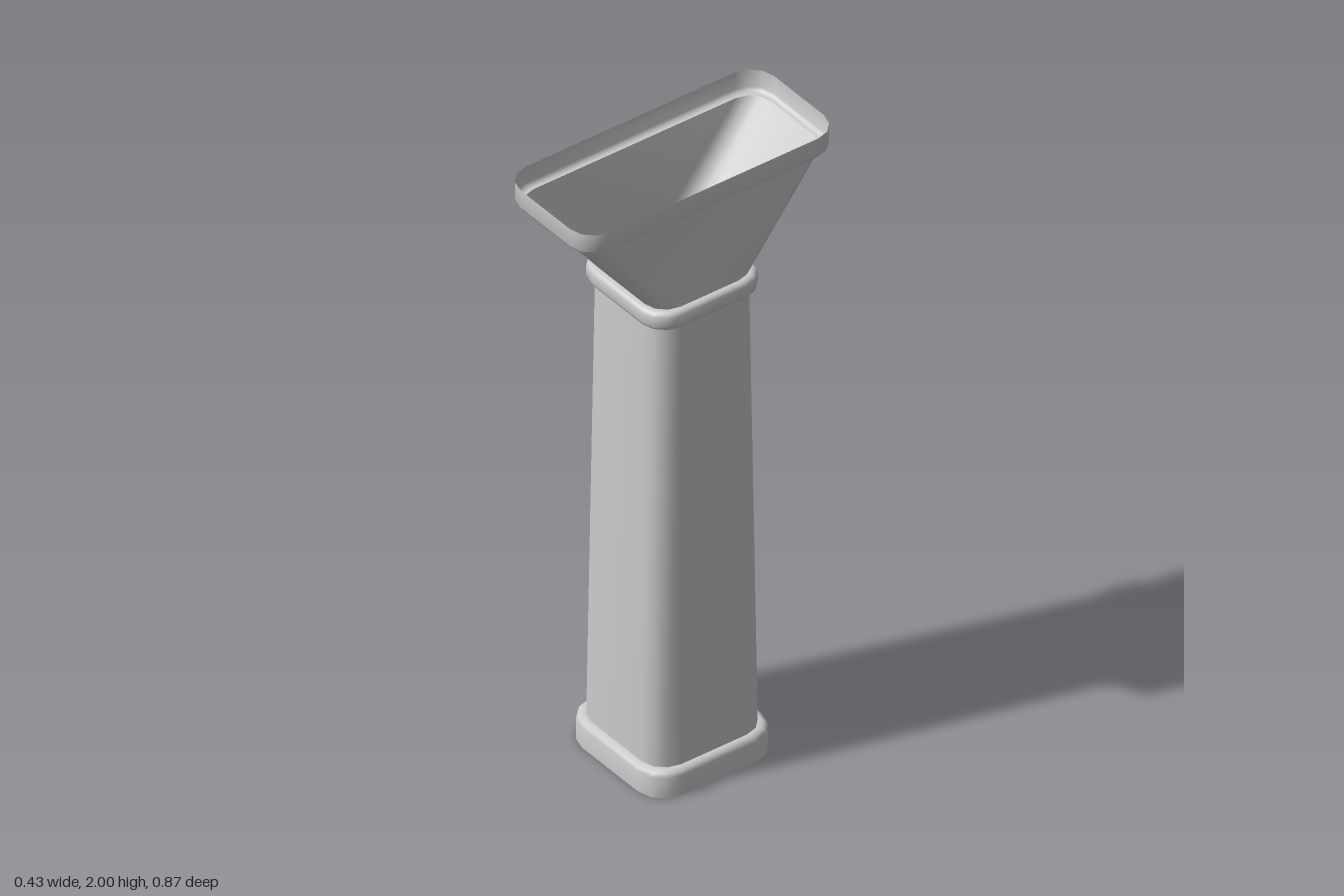
import * as THREE from 'three';
import { toCreasedNormals } from 'three/addons/utils/BufferGeometryUtils.js';

const CORNER_STEPS = 3;
const material = new THREE.MeshStandardMaterial({ color: 0xcccccc, side: THREE.DoubleSide });

// Rounded rectangle outline at height y, with half sizes hx and hz
function section([y, hx, hz = hx]) {
  const r = hx * 0.41;
  const points = [];
  for (let c = 0; c < 4; c++) {
    const sx = c === 0 || c === 3 ? 1 : -1;
    const sz = c < 2 ? 1 : -1;
    for (let i = 0; i <= CORNER_STEPS; i++) {
      const a = (c + i / CORNER_STEPS) * Math.PI / 2;
      points.push(sx * (hx - r) + r * Math.cos(a), y, sz * (hz - r) + r * Math.sin(a));
    }
  }
  return points;
}

// Open skin through sections listed from bottom to top
function loft(name, sections) {
  const n = 4 * (CORNER_STEPS + 1);
  const index = [];
  for (let s = 0; s < sections.length - 1; s++) {
    for (let i = 0; i < n; i++) {
      const a = s * n + i, b = s * n + (i + 1) % n;
      index.push(a, a + n, b, b, a + n, b + n);
    }
  }
  const geometry = new THREE.BufferGeometry();
  geometry.setAttribute('position', new THREE.Float32BufferAttribute(sections.flatMap(section), 3));
  geometry.setIndex(index);
  const mesh = new THREE.Mesh(toCreasedNormals(geometry, 0.8), material);
  mesh.name = name;
  return mesh;
}

export function createModel() {
  const group = new THREE.Group();
  group.name = 'openChute';
  group.add(
    // Collar around the open foot
    loft('baseCollar', [
      [0, 0.213], [0.067, 0.213], [0.078, 0.21], [0.085, 0.2], [0.085, 0.19],
    ]),
    // Tapering square shaft
    loft('shaft', [[0.085, 0.19], [1.562, 0.171]]),
    // Collar between shaft and funnel
    loft('neckCollar', [
      [1.562, 0.171], [1.562, 0.178], [1.566, 0.186], [1.575, 0.19],
      [1.608, 0.19], [1.617, 0.186], [1.621, 0.178], [1.621, 0.17],
    ]),
    // Funnel widening to the front and back only
    loft('funnel', [[1.621, 0.17, 0.17], [1.93, 0.17, 0.415]]),
    // Upright lip around the open mouth
    loft('rim', [
      [1.93, 0.17, 0.415], [1.93, 0.178, 0.423], [1.934, 0.186, 0.431],
      [1.943, 0.19, 0.435], [2, 0.19, 0.435],
    ]),
  );
  return group;
}
